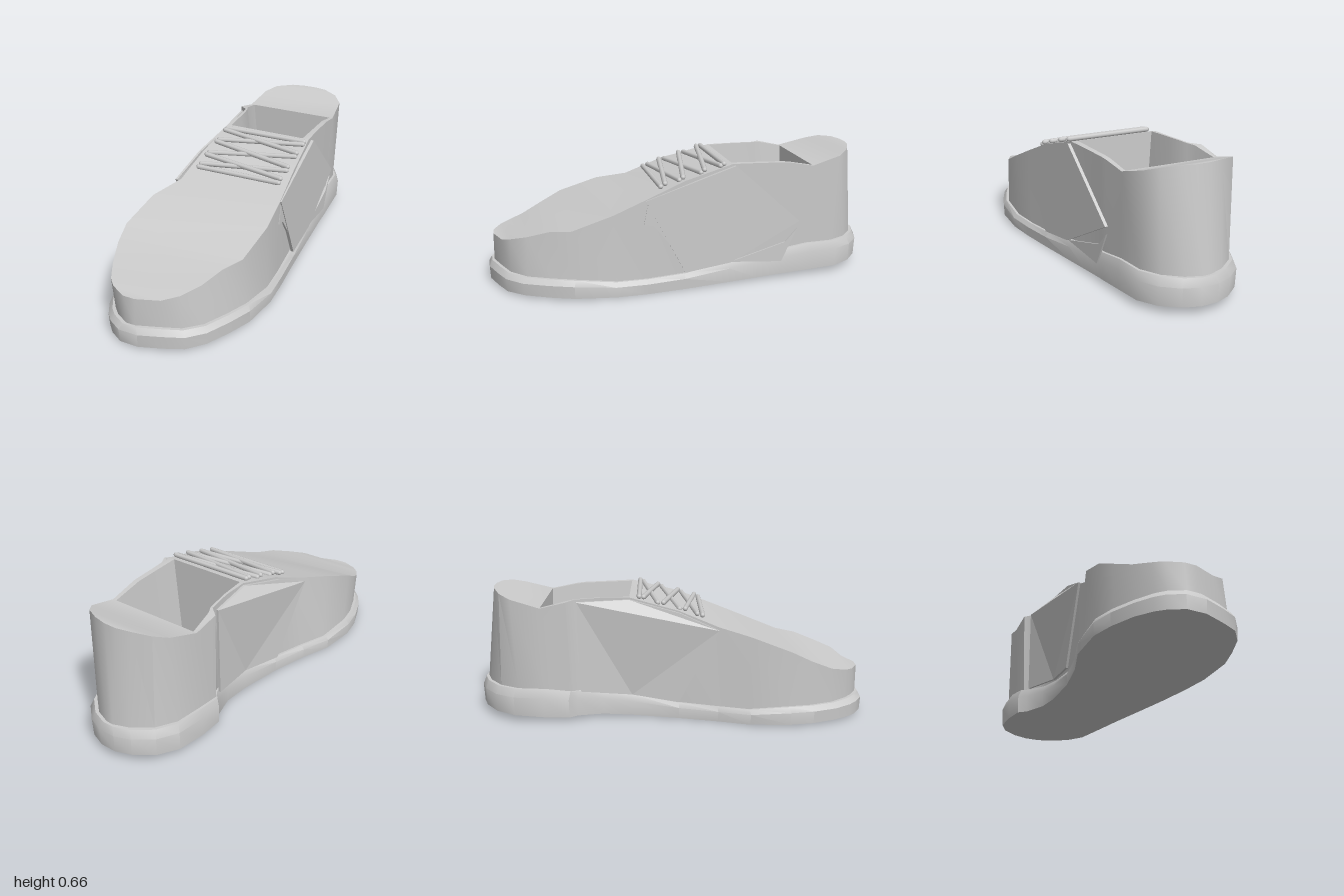
import * as THREE from 'three';
import { toCreasedNormals } from 'three/addons/utils/BufferGeometryUtils.js';

const material = new THREE.MeshStandardMaterial({ color: 0xcccccc, side: THREE.DoubleSide });

// Sole stations, toe to heel: z, left-hand x, right-hand x, bottom y, top y
const soleRows = [
  [1, -0.13, -0.03, 0.012, 0.108], [0.96, -0.2, 0.08, 0.012, 0.108],
  [0.92, -0.24, 0.17, 0.012, 0.105], [0.84, -0.29, 0.24, 0.012, 0.1],
  [0.72, -0.335, 0.295, 0.01, 0.1], [0.6, -0.357, 0.34, 0.01, 0.1],
  [0.4, -0.34, 0.357, 0.005, 0.08], [0.24, -0.28, 0.342, 0, 0.075],
  [0.04, -0.23, 0.32, 0, 0.08], [-0.2, -0.2, 0.3, 0.008, 0.115],
  [-0.35, -0.2, 0.29, 0.015, 0.135], [-0.48, -0.24, 0.28, 0.02, 0.15],
  [-0.52, -0.275, 0.28, 0.022, 0.155], [-0.65, -0.28, 0.27, 0.026, 0.17],
  [-0.8, -0.265, 0.26, 0.032, 0.17], [-0.9, -0.21, 0.21, 0.036, 0.17],
  [-0.97, -0.12, 0.13, 0.039, 0.17], [-1, -0.04, 0.05, 0.04, 0.17],
];

// Matching rim stations of the upper: z, x and y on each side
const rimRows = [
  [0.97, -0.11, -0.05, 0.25, 0.25], [0.93, -0.19, 0.06, 0.255, 0.25],
  [0.89, -0.23, 0.14, 0.26, 0.275], [0.81, -0.275, 0.2, 0.28, 0.3],
  [0.7, -0.315, 0.25, 0.33, 0.335], [0.6, -0.33, 0.3, 0.38, 0.345],
  [0.4, -0.3, 0.33, 0.45, 0.42], [0.24, -0.23, 0.325, 0.485, 0.485],
  [0.04, -0.21, 0.31, 0.565, 0.565], [-0.21, -0.19, 0.285, 0.63, 0.63],
  [-0.35, -0.195, 0.275, 0.63, 0.625], [-0.48, -0.215, 0.27, 0.625, 0.62],
  [-0.52, -0.262, 0.265, 0.62, 0.615], [-0.65, -0.26, 0.255, 0.59, 0.59],
  [-0.8, -0.235, 0.24, 0.63, 0.63], [-0.86, -0.19, 0.19, 0.65, 0.65],
  [-0.9, -0.1, 0.11, 0.66, 0.66], [-0.915, -0.03, 0.04, 0.66, 0.66],
];
const OPEN_FROM = 9, OPEN_TO = 13;

// Collects quads and turns them into a creased mesh
function builder() {
  const pos = [];
  const quad = (a, b, c, d) => [a, b, c, a, c, d].forEach((p) => pos.push(...p));
  return {
    quad,
    // wall between two closed rings, facing outward
    wall(low, high) {
      low.forEach((p, i) => {
        const j = (i + 1) % low.length;
        quad(p, high[i], high[j], low[j]);
      });
    },
    mesh(name) {
      const g = new THREE.BufferGeometry();
      g.setAttribute('position', new THREE.Float32BufferAttribute(pos, 3));
      const m = new THREE.Mesh(toCreasedNormals(g, 0.6), material);
      m.name = name;
      return m;
    },
  };
}

// Left points toe to heel, then right points heel to toe
const ringOf = (left, right) => [...left, ...[...right].reverse()];

// A ring of the sole outline, pulled in by inset, at fraction t of its height
function soleRing(t, inset) {
  const at = (r, x) => [x, r[3] + (r[4] - r[3]) * t, r[0] * (1 - inset)];
  return ringOf(soleRows.map((r) => at(r, r[1] + inset)), soleRows.map((r) => at(r, r[2] - inset)));
}

function makeSole() {
  const b = builder();
  const rings = [soleRing(0, 0.003), soleRing(0.7, 0), soleRing(1, 0.015), soleRing(1, 0.035)];
  for (let i = 0; i < 3; i++) b.wall(rings[i], rings[i + 1]);
  const n = soleRows.length, base = rings[0];
  for (let i = 0; i < n - 1; i++) {
    const j = 2 * n - 1 - i;
    b.quad(base[i], base[i + 1], base[j - 1], base[j]);
  }
  return b.mesh('sole');
}

function makeUpper() {
  const b = builder();
  const L = rimRows.map((r) => [r[1], r[3], r[0]]);
  const R = rimRows.map((r) => [r[2], r[4], r[0]]);
  b.wall(soleRing(0.97, 0.027), ringOf(L, R));
  // foot opening edges
  const l = [], r = [];
  for (let i = OPEN_FROM; i <= OPEN_TO; i++) {
    const t = (i - OPEN_FROM) / (OPEN_TO - OPEN_FROM);
    l[i] = [Math.max(-0.17 - 0.07 * t, L[i][0] + 0.012), L[i][1], L[i][2]];
    r[i] = [0.25 - 0.015 * t, R[i][1], R[i][2]];
  }
  // top deck, split around the opening
  for (let i = 0; i < L.length - 1; i++) {
    if (i >= OPEN_FROM && i < OPEN_TO) {
      b.quad(L[i], l[i], l[i + 1], L[i + 1]);
      b.quad(r[i], R[i], R[i + 1], r[i + 1]);
    } else b.quad(L[i], R[i], R[i + 1], L[i + 1]);
  }
  // lining and insole
  const rim = ringOf(l.slice(OPEN_FROM), r.slice(OPEN_FROM));
  const floor = rim.map(([x, , z]) => [x * 0.85, 0.2, z]);
  b.wall(rim, floor);
  const n = rim.length;
  for (let i = 0; i < n / 2 - 1; i++) b.quad(floor[i], floor[n - 1 - i], floor[n - 2 - i], floor[i + 1]);
  return b.mesh('upper');
}

// Thin slab drawn in (z, y) and set against the side by xAt(z)
function makePanel(name, points, xAt, thickness) {
  const shape = new THREE.Shape(points.map(([z, y]) => new THREE.Vector2(-z, y)));
  const g = new THREE.ExtrudeGeometry(shape, { depth: thickness, bevelEnabled: false });
  g.rotateY(Math.PI / 2);
  const p = g.attributes.position;
  for (let i = 0; i < p.count; i++) p.setX(i, p.getX(i) + xAt(p.getZ(i)));
  g.computeVertexNormals();
  const m = new THREE.Mesh(g, material);
  m.name = name;
  return m;
}

// One rounded lace strand between a left and a right eyelet
function makeStrand(zL, zR, lift) {
  const point = (x, z) => new THREE.Vector3(x, 0.58 - 0.29 * z + lift, z);
  const a = point(-0.18, zL), c = point(0.285, zR);
  const m = new THREE.Mesh(new THREE.CapsuleGeometry(0.013, a.distanceTo(c) - 0.02, 3, 8), material);
  m.position.lerpVectors(a, c, 0.5);
  m.quaternion.setFromUnitVectors(new THREE.Vector3(0, 1, 0), c.sub(a).normalize());
  m.name = 'laceStrand';
  return m;
}

export function createModel() {
  const shoe = new THREE.Group();
  shoe.name = 'shoe';
  shoe.add(makeSole(), makeUpper());

  // side panels
  const outer = (z) => 0.278 + (z + 0.57) * 0.045;
  const inner = (z) => -0.2 - 0.15 * Math.abs(z + 0.2);
  shoe.add(
    makePanel('leftQuarterPanel', [[0.24, 0.48], [0.04, 0.09], [-0.2, 0.12], [-0.57, 0.31], [-0.22, 0.625]], outer, 0.016),
    makePanel('leftHeelFlap', [[-0.2, 0.12], [-0.48, 0.095], [-0.565, 0.27], [-0.5, 0.2]], outer, 0.008),
    makePanel('leftFrontTab', [[0.23, 0.46], [0.25, 0.36], [0.2, 0.35], [0.12, 0.25]], outer, 0.012),
    makePanel('rightQuarterPanel', [[0.24, 0.475], [0.04, 0.09], [-0.2, 0.12], [-0.46, 0.15], [-0.47, 0.615], [-0.21, 0.62], [0.04, 0.56]], inner, 0.012),
  );

  // laces: a straight strand at each end, crossed pairs between
  const laces = new THREE.Group();
  laces.name = 'laces';
  const eyelets = [0.15, 0.06, -0.05, -0.15];
  laces.add(makeStrand(0.16, 0.155, 0), makeStrand(-0.16, -0.165, 0.004));
  for (let i = 0; i < 3; i++) {
    const a = eyelets[i], c = eyelets[i + 1];
    laces.add(makeStrand(a - 0.015, c, 0), makeStrand(c + 0.01, a - 0.015, 0.008));
  }
  shoe.add(laces);
  return shoe;
}
